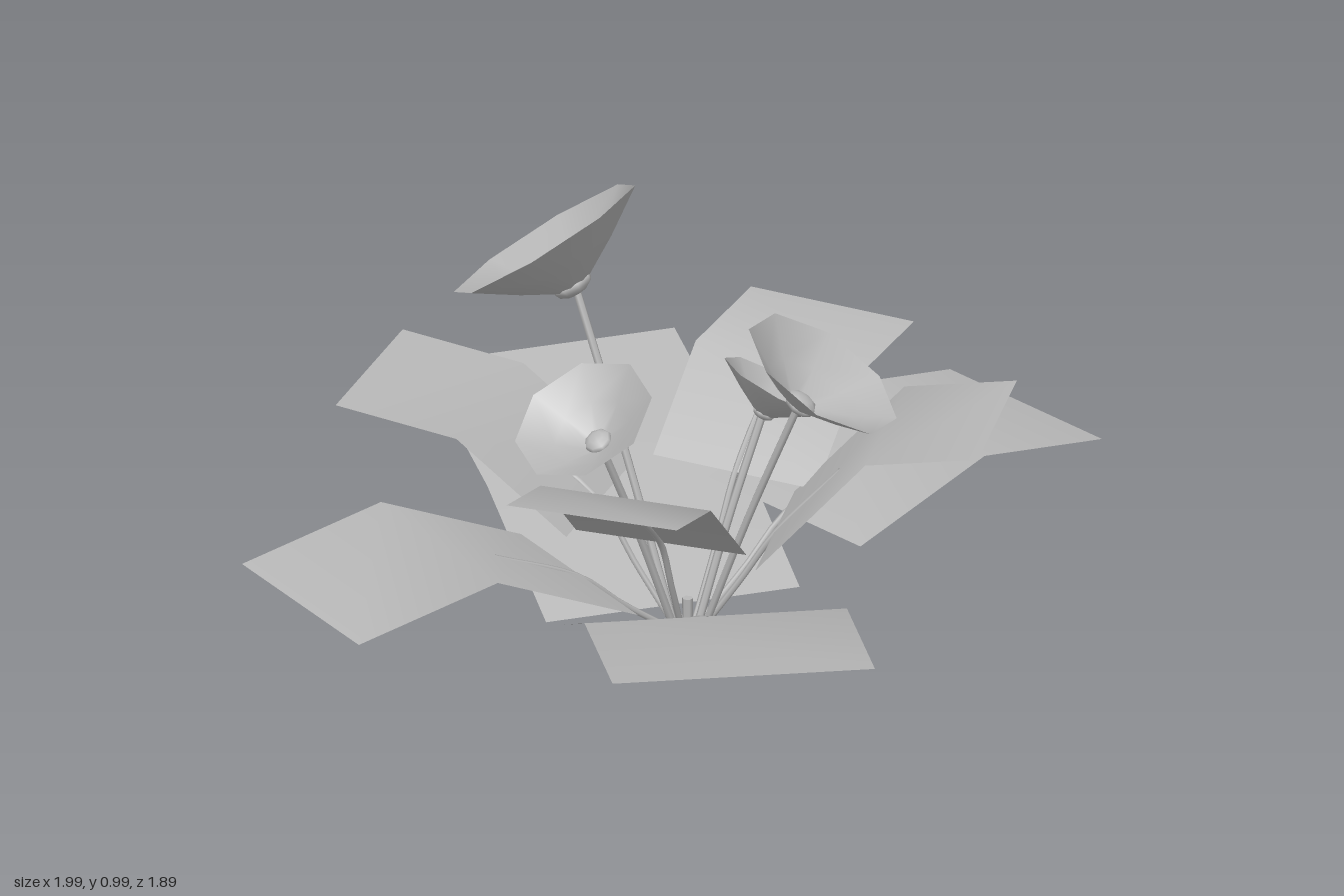
import * as THREE from 'three';

const grey = new THREE.MeshStandardMaterial({ color: 0xb8b8b8, side: THREE.DoubleSide });
grey.name = 'plain grey';

function add(parent, geometry, name) {
  const mesh = new THREE.Mesh(geometry, grey);
  mesh.name = name;
  parent.add(mesh);
  return mesh;
}

function stem(parent, points, radius, name) {
  const curve = new THREE.CatmullRomCurve3(points);
  add(parent, new THREE.TubeGeometry(curve, 12, radius, 6), name);
}

// Thin rectangular leaf bent across its length; profile lists [distance out, height]
function leaf(parent, { name, dir, width, profile }) {
  const group = new THREE.Group();
  group.name = name;
  const d = new THREE.Vector2(...dir).normalize();
  const at = (r, y, s = 0) => new THREE.Vector3(d.x * r - d.y * s, y, d.y * r + d.x * s);
  const blade = new THREE.PlaneGeometry(width, 1, 1, profile.length - 1);
  const pos = blade.attributes.position;
  for (let i = 0; i < pos.count; i++) {
    const [r, y] = profile[Math.floor(i / 2)];
    const p = at(r, y, pos.getX(i));
    pos.setXYZ(i, p.x, p.y, p.z);
  }
  // rows run outwards, so turn the faces to look upwards
  blade.index.array.reverse();
  blade.computeVertexNormals();
  if (blade.attributes.normal.getY(0) < 0) {
    blade.index.array.reverse();
    blade.computeVertexNormals();
  }
  add(group, blade, 'leafBlade');
  // Stalk rising to the leaf base and running under its midrib
  const [[r0, y0], [r1, y1]] = profile;
  stem(group, [at(0.03, 0.07), at(r0 * 0.6, 0.07 + (y0 - 0.07) * 0.5), at(r0, y0 - 0.005),
    at(r0 + (r1 - r0) * 0.6, y0 + (y1 - y0) * 0.6 - 0.006)], 0.007, 'leafStalk');
  parent.add(group);
}

// Eight-sided open cone on a slender stem
function flower(parent, { name, apex, axis, radius, depth }) {
  const group = new THREE.Group();
  group.name = name;
  const a = new THREE.Vector3(...axis).normalize();
  const tip = new THREE.Vector3(...apex);
  const profile = [[0.001, 0], [0.13, 0.06], [0.55, 0.48], [1, 1]]
    .map(([r, y]) => new THREE.Vector2(r * radius, y * depth));
  const cup = add(group, new THREE.LatheGeometry(profile, 8, Math.PI / 8), 'flowerCup');
  cup.position.copy(tip);
  cup.quaternion.setFromUnitVectors(new THREE.Vector3(0, 1, 0), a);
  // Small dome in the middle
  const dome = add(group, new THREE.SphereGeometry(radius * 0.2, 8, 6), 'flowerCentre');
  dome.position.copy(tip).addScaledVector(a, depth * 0.12);
  dome.quaternion.copy(cup.quaternion);
  dome.scale.y = 0.55;
  const base = new THREE.Vector3(tip.x * 0.12, 0.06, tip.z * 0.12);
  const middle = base.clone().lerp(tip, 0.5);
  middle.y += 0.015;
  stem(group, [base, middle, tip], 0.009, 'flowerStem');
  parent.add(group);
}

const leaves = [
  // Low, wide leaves
  { name: 'frontLeaf', dir: [-0.2, 0.98], width: 0.565, profile: [[0.1, 0.14], [0.45, 0.305], [0.9, 0.37]] },
  { name: 'backLeaf', dir: [0.015, -1], width: 0.57, profile: [[0.1, 0.08], [0.5, 0.225], [0.95, 0.315]] },
  { name: 'leftLeaf', dir: [0.917, -0.396], width: 0.48, profile: [[0.28, 0.255], [0.64, 0.355], [0.98, 0.288]] },
  { name: 'rightLeaf', dir: [-0.978, 0.21], width: 0.48, profile: [[0.27, 0.26], [0.62, 0.42], [0.967, 0.358]] },
  // Raised leaves
  { name: 'backRightLeaf', dir: [-0.77, -0.637], width: 0.41, profile: [[0.2, 0.34], [0.45, 0.53], [0.725, 0.565]] },
  { name: 'backLeftLeaf', dir: [0.72, -0.69], width: 0.39, profile: [[0.22, 0.345], [0.42, 0.53], [0.68, 0.55]] },
  { name: 'frontLeftLeaf', dir: [0.857, 0.514], width: 0.41, profile: [[0.19, 0.315], [0.43, 0.585], [0.675, 0.622]] },
  { name: 'frontRightLeaf', dir: [-0.62, 0.78], width: 0.385, profile: [[0.17, 0.345], [0.4, 0.55], [0.62, 0.6]] },
];

const flowers = [
  { name: 'tallFlower', apex: [-0.15, 0.76, -0.29], axis: [-0.42, 0.82, -0.4], radius: 0.23, depth: 0.13 },
  { name: 'frontLeftFlower', apex: [0.17, 0.66, 0.225], axis: [0.47, 0.82, 0.25], radius: 0.188, depth: 0.1 },
  { name: 'frontRightFlower', apex: [-0.235, 0.585, 0.11], axis: [-0.5, 0.82, 0.22], radius: 0.16, depth: 0.09 },
  { name: 'smallFlower', apex: [0.19, 0.51, -0.065], axis: [0.5, 0.85, -0.03], radius: 0.13, depth: 0.075 },
];

export function createModel() {
  const plant = new THREE.Group();
  plant.name = 'floweringPlant';
  // Short root stem where all stalks meet
  const root = add(plant, new THREE.CylinderGeometry(0.012, 0.01, 0.14, 6), 'rootStem');
  root.position.y = 0.07;
  leaves.forEach((spec) => leaf(plant, spec));
  flowers.forEach((spec) => flower(plant, spec));
  return plant;
}
